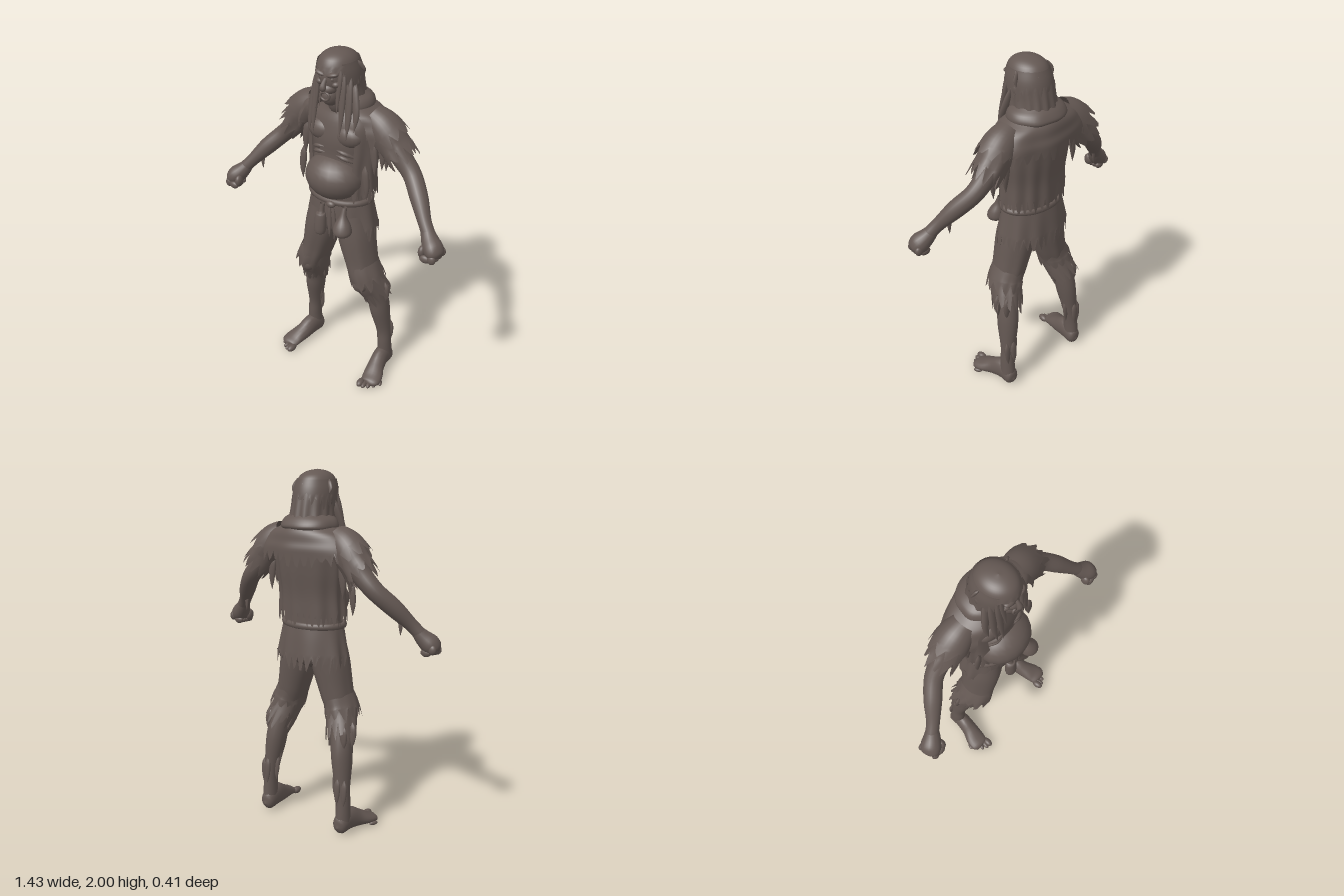
import * as THREE from 'three';

const V = (x, y, z) => new THREE.Vector3(x, y, z);
const skin = new THREE.MeshStandardMaterial({ color: 0x645853, side: THREE.DoubleSide });
skin.name = 'weathered brown';

let seed = 7;
const rnd = () => (seed = (seed * 16807) % 2147483647) / 2147483647;

// Loft of elliptical rings [x, y, z, r1, r2]. flat: level rings; jag: torn last row;
// gap: half-angle in degrees left open at the front; fold: depth of vertical folds.
function loft(rings, { nu = 20, nv = 20, flat = false, up = V(0, 0, 1), jag = 0, gap = 0, fold = 0, folds = 9 } = {}) {
  const c = new THREE.CatmullRomCurve3(rings.map(r => V(r[0], r[1], r[2])), false, 'catmullrom');
  const w = new THREE.CatmullRomCurve3(rings.map(r => V(r[3], r[4] ?? r[3], 0)), false, 'catmullrom');
  const closed = gap === 0, cols = closed ? nu : nu + 1, g = gap * Math.PI / 180;
  const pos = [], idx = [];
  for (let j = 0; j <= nv; j++) {
    const v = j / nv, p = c.getPoint(v), r = w.getPoint(v);
    const t = flat ? V(0, -1, 0) : c.getTangent(v);
    const a = t.clone().cross(up).normalize(), b = a.clone().cross(t);
    for (let i = 0; i < cols; i++) {
      const th = Math.PI / 2 + g + (i / nu) * (2 * Math.PI - 2 * g);
      const k = 1 + fold * v * Math.sin(folds * th + Math.sin(3 * th));
      const q = p.clone().addScaledVector(a, Math.cos(th) * Math.max(r.x, 0.0005) * k)
        .addScaledVector(b, Math.sin(th) * Math.max(r.y, 0.0005) * k);
      if (jag && j === nv) q.addScaledVector(t, jag * (i % 3 ? 0.25 + 0.75 * rnd() : -0.5 * rnd()));
      pos.push(q.x, q.y, q.z);
      if (j < nv && i < nu) {
        const n = (i + 1) % cols, A = j * cols + i, B = j * cols + n;
        idx.push(A, A + cols, B, B, A + cols, B + cols);
      }
    }
  }
  const geo = new THREE.BufferGeometry();
  geo.setAttribute('position', new THREE.Float32BufferAttribute(pos, 3));
  geo.setIndex(idx);
  geo.computeVertexNormals();
  return geo;
}

export function createModel() {
  const root = new THREE.Group();
  root.name = 'raggedFigure';
  const add = (name, geo, x = 0, y = 0, z = 0) => {
    const m = new THREE.Mesh(geo, skin);
    m.name = name;
    m.position.set(x, y, z);
    root.add(m);
    return m;
  };
  const ball = (name, x, y, z, rx, ry = rx, rz = rx) => {
    const m = add(name, new THREE.SphereGeometry(1, 20, 14), x, y, z);
    m.scale.set(rx, ry, rz);
    return m;
  };
  // Flattened, tapering lock or rag
  const strand = (name, x0, y0, z0, x1, y1, z1, r) => add(name, loft([
    [x0, y0, z0, 0.002], [x0 * 0.8 + x1 * 0.2, y0 * 0.75 + y1 * 0.25, z0 * 0.75 + z1 * 0.25, r, r * 0.6],
    [x1, y0 * 0.35 + y1 * 0.65, z0 * 0.35 + z1 * 0.65, r * 0.85, r * 0.5], [x1, y1, z1, 0.001]], { nu: 8, nv: 12 }));

  // Torso and belly
  add('torso', loft([[0, 1.76, 0.02, 0.055, 0.055], [0, 1.69, -0.02, 0.1, 0.08], [0, 1.62, -0.03, 0.19, 0.115],
    [0, 1.52, -0.02, 0.19, 0.125], [0, 1.42, -0.015, 0.17, 0.12], [0, 1.3, 0, 0.17, 0.125], [0, 1.16, 0, 0.175, 0.115]],
    { nu: 32, nv: 24, flat: true }));
  ball('belly', 0, 1.3, 0.06, 0.168, 0.128, 0.145);
  ball('neck', 0, 1.74, 0.03, 0.06, 0.09, 0.06);
  for (const s of [-1, 1]) {
    ball('chestMuscle', s * 0.085, 1.55, 0.055, 0.085, 0.06, 0.05);
    for (const k of [0, 1]) add('rib', loft([[s * 0.03, 1.475 - k * 0.03, 0.1, 0.001], [s * 0.09, 1.465 - k * 0.03, 0.095, 0.012],
      [s * 0.15, 1.43 - k * 0.03, 0.05, 0.001]], { nu: 8, nv: 8, up: V(0, 1, 0) }));
  }

  // Head and face
  ball('skull', 0, 1.87, 0.035, 0.088, 0.115, 0.108);
  ball('jaw', 0, 1.775, 0.085, 0.05, 0.058, 0.06);
  ball('muzzle', 0, 1.815, 0.1, 0.045, 0.035, 0.05);
  add('nose', loft([[0, 1.875, 0.135, 0.008], [0, 1.845, 0.155, 0.014], [0, 1.825, 0.16, 0.018, 0.014], [0, 1.815, 0.148, 0.001]], { nu: 10, nv: 8 }));
  const lips = add('openMouth', new THREE.TorusGeometry(0.026, 0.007, 8, 20), 0, 1.782, 0.142);
  lips.scale.y = 0.8;
  for (const s of [-1, 1]) {
    ball('brow', s * 0.035, 1.895, 0.125, 0.036, 0.014, 0.022).rotation.z = s * 0.25;
    ball('cheekbone', s * 0.048, 1.845, 0.108, 0.024, 0.018, 0.026);
    ball('eye', s * 0.032, 1.872, 0.122, 0.013);
    ball('ear', s * 0.105, 1.85, 0.0, 0.015, 0.035, 0.022);
  }

  // Hair
  add('hairCap', loft([[0, 2, 0.03, 0, 0], [0, 1.99, 0.028, 0.05, 0.056], [0, 1.965, 0.025, 0.085, 0.1],
    [0, 1.92, 0.022, 0.107, 0.126]], { nu: 48, nv: 12, flat: true, jag: 0.02 }));
  add('hairDrape', loft([[0, 1.95, 0.022, 0.097, 0.114], [0, 1.88, 0.012, 0.114, 0.127], [0, 1.8, -0.005, 0.114, 0.128],
    [0, 1.71, -0.02, 0.125, 0.13]], { nu: 60, nv: 12, flat: true, gap: 48, jag: 0.06, fold: 0.04, folds: 14 }));
  add('hairUnderLayer', loft([[0, 1.95, 0.024, 0.1, 0.118], [0, 1.9, 0.018, 0.114, 0.13], [0, 1.84, 0.01, 0.12, 0.134]],
    { nu: 50, nv: 6, flat: true, gap: 55, jag: 0.05 }));
  for (const s of [-1, 1]) {
    strand('hairLock', s * 0.08, 1.92, 0.085, s * 0.085, 1.55 + (s > 0 ? 0.03 : 0), 0.14, 0.02);
    strand('hairLock', s * 0.1, 1.9, 0.06, s * 0.115, 1.56, 0.125, 0.022);
    strand('hairLock', s * 0.105, 1.86, 0.03, s * 0.14, 1.6, 0.09, 0.024);
    strand('hairLock', s * 0.07, 1.93, 0.1, s * 0.065, 1.7, 0.135, 0.014);
    strand('hairTuft', s * 0.1, 1.95, 0.0, s * 0.122, 1.88, -0.03, 0.014);
  }

  // Cowl, cape and open vest
  add('cowlFold', loft([[0, 1.77, -0.03, 0.11, 0.1], [0, 1.745, -0.035, 0.15, 0.125], [0, 1.71, -0.04, 0.165, 0.14],
    [0, 1.685, -0.035, 0.15, 0.12]], { nu: 40, nv: 12, flat: true, gap: 40, fold: 0.03, folds: 5 }));
  add('cape', loft([[0, 1.74, -0.025, 0.11, 0.1], [0, 1.705, -0.03, 0.17, 0.135], [0, 1.675, -0.032, 0.235, 0.148],
    [0, 1.635, -0.035, 0.275, 0.15], [0, 1.6, -0.035, 0.295, 0.16], [0, 1.56, -0.035, 0.31, 0.16]],
    { nu: 84, nv: 16, flat: true, gap: 45, jag: 0.06, fold: 0.025, folds: 7 }));
  add('vest', loft([[0, 1.68, -0.03, 0.17, 0.11], [0, 1.6, -0.03, 0.215, 0.14], [0, 1.48, -0.025, 0.213, 0.14],
    [0, 1.35, -0.015, 0.2, 0.135], [0, 1.23, -0.01, 0.205, 0.138]],
    { nu: 84, nv: 20, flat: true, gap: 40, jag: 0.06, fold: 0.04, folds: 11 }));

  // Trousers seat, torn overskirt and belt
  add('trouserSeat', loft([[0, 1.22, -0.005, 0.17, 0.115], [0, 1.12, 0, 0.188, 0.12], [0, 1.02, 0, 0.195, 0.122],
    [0, 0.96, -0.005, 0.15, 0.1], [0, 0.92, -0.005, 0.02, 0.03]], { nu: 32, nv: 16, flat: true }));
  add('overskirt', loft([[0, 1.19, -0.005, 0.182, 0.125], [0, 1.1, -0.007, 0.2, 0.137], [0, 0.99, -0.01, 0.222, 0.146]],
    { nu: 72, nv: 12, flat: true, gap: 42, jag: 0.07, fold: 0.035 }));
  const belt = add('belt', new THREE.TorusGeometry(0.18, 0.014, 8, 48), 0, 1.175, 0);
  belt.rotation.x = Math.PI / 2;
  belt.scale.set(1.02, 0.74, 1.3);

  // Things hanging from the belt
  add('pouch', loft([[0.115, 1.17, 0.13, 0.012], [0.115, 1.12, 0.145, 0.02], [0.118, 1.07, 0.155, 0.046, 0.044],
    [0.12, 1.025, 0.16, 0.05, 0.048], [0.12, 0.995, 0.16, 0.001]], { nu: 18, nv: 18, flat: true }));
  add('flask', loft([[-0.03, 1.15, 0.135, 0.014], [-0.03, 1.1, 0.145, 0.016], [-0.032, 1.085, 0.15, 0.032, 0.026],
    [-0.034, 0.98, 0.155, 0.033, 0.028], [-0.034, 0.965, 0.155, 0.001]], { nu: 14, nv: 16, flat: true }));
  ball('beltKnot', 0.03, 1.165, 0.14, 0.028, 0.02, 0.02);
  strand('beltTie', 0.02, 1.16, 0.14, 0.025, 0.96, 0.15, 0.014);
  strand('beltTie', 0.045, 1.16, 0.14, 0.055, 0.94, 0.145, 0.014);

  for (const s of [-1, 1]) {
    const side = rings => rings.map(([x, ...r]) => [s * x, ...r]);
    // Arm and torn sleeve
    add('arm', loft(side([[0.17, 1.62, -0.03, 0.06], [0.27, 1.56, -0.04, 0.068], [0.34, 1.475, -0.045, 0.056],
      [0.42, 1.395, -0.035, 0.05], [0.5, 1.31, 0.02, 0.048], [0.57, 1.225, 0.075, 0.036], [0.62, 1.165, 0.105, 0.036]]), { nv: 32 }));
    add('sleeve', loft(side([[0.18, 1.64, -0.03, 0.075], [0.25, 1.59, -0.037, 0.088], [0.3, 1.53, -0.042, 0.086], [0.335, 1.49, -0.044, 0.088]]),
      { nu: 36, nv: 10, jag: 0.07, fold: 0.05, folds: 6 }));
    add('shoulderRag', loft(side([[0.17, 1.66, -0.03, 0.07], [0.23, 1.62, -0.035, 0.09], [0.28, 1.57, -0.04, 0.1]]),
      { nu: 30, nv: 8, jag: 0.055 }));
    for (const [x, z, y] of [[0.215, 0.02, 1.35], [0.235, -0.02, 1.37], [0.23, -0.07, 1.34], [0.27, -0.04, 1.41], [0.2, 0.07, 1.22]])
      strand('sideRag', s * x, y + 0.2, z, s * (x + 0.01), y, z, 0.022);
    strand('forearmRag', s * 0.525, 1.28, 0.04, s * 0.53, 1.165, 0.04, 0.013);

    // Fist
    add('fist', loft(side([[0.595, 1.195, 0.09, 0.032], [0.625, 1.155, 0.11, 0.044, 0.045], [0.66, 1.12, 0.13, 0.052, 0.056],
      [0.69, 1.095, 0.145, 0.035, 0.045], [0.703, 1.085, 0.15, 0.001]]), { nv: 16 }));
    for (let i = 0; i < 4; i++)
      ball('knuckle', s * (0.69 - i * 0.004), 1.1 - i * 0.005, 0.095 + i * 0.027, 0.023, 0.027, 0.017);
    for (let i = 0; i < 4; i++)
      ball('curledFinger', s * (0.65 - i * 0.003), 1.078, 0.1 + i * 0.026, 0.03, 0.022, 0.016);
    ball('thumb', s * 0.615, 1.105, 0.16, 0.02, 0.035, 0.028);

    // Trouser leg, torn at the shin, with a knee rag
    add('trouserLeg', loft(side([[0.095, 1.08, 0, 0.09, 0.112], [0.112, 0.95, 0.01, 0.103, 0.115], [0.148, 0.8, 0.014, 0.09, 0.105],
      [0.18, 0.69, 0.015, 0.08, 0.1], [0.212, 0.59, -0.03, 0.086, 0.088]]), { nu: 42, nv: 24, jag: 0.09, fold: 0.04, folds: 6 }));
    add('kneeRag', loft(side([[0.16, 0.77, 0.015, 0.085, 0.102], [0.178, 0.72, 0.016, 0.09, 0.107], [0.19, 0.685, 0.012, 0.093, 0.11]]),
      { nu: 36, nv: 6, jag: 0.06, fold: 0.04 }));
    ball('kneecap', s * 0.185, 0.665, 0.075, 0.05, 0.055, 0.045);
    for (const [x, z, y] of [[0.285, -0.03, 0.51], [0.26, -0.08, 0.5], [0.15, -0.03, 0.5], [0.19, 0.035, 0.5]])
      strand('trouserRag', s * x, y + 0.14, z, s * (x + 0.005), y, z - 0.01, 0.024);

    // Shin and ankle rags
    add('lowerLeg', loft(side([[0.2, 0.66, 0, 0.06, 0.07], [0.225, 0.52, -0.045, 0.06, 0.065], [0.238, 0.42, -0.06, 0.056, 0.064],
      [0.255, 0.27, -0.078, 0.042, 0.045], [0.263, 0.17, -0.08, 0.04, 0.046], [0.265, 0.06, -0.085, 0.042, 0.05]]), { nv: 24 }));
    for (const [x, z, y] of [[0.212, -0.09, 0.2], [0.25, -0.13, 0.18], [0.285, -0.115, 0.17], [0.21, -0.07, 0.27]])
      strand('ankleRag', s * x, y + 0.16, z + 0.01, s * x, y, z, 0.02);

    // Bare foot
    add('foot', loft(side([[0.262, 0.045, -0.14, 0.002], [0.262, 0.05, -0.118, 0.04, 0.048], [0.265, 0.075, -0.05, 0.045, 0.07],
      [0.278, 0.055, 0.03, 0.05, 0.052], [0.3, 0.035, 0.1, 0.06, 0.032], [0.305, 0.025, 0.145, 0.05, 0.022], [0.305, 0.022, 0.16, 0.002]]),
      { nv: 24, up: V(0, 1, 0) }));
    for (let i = 0; i < 5; i++) {
      const r = i ? 0.016 - i * 0.001 : 0.021;
      ball('toe', s * (0.262 + i * 0.023), r, 0.17 - i * i * 0.0045, r, r, 0.034 - i * 0.002).rotation.y = s * (0.1 + i * 0.1);
    }
  }
  return root;
}
